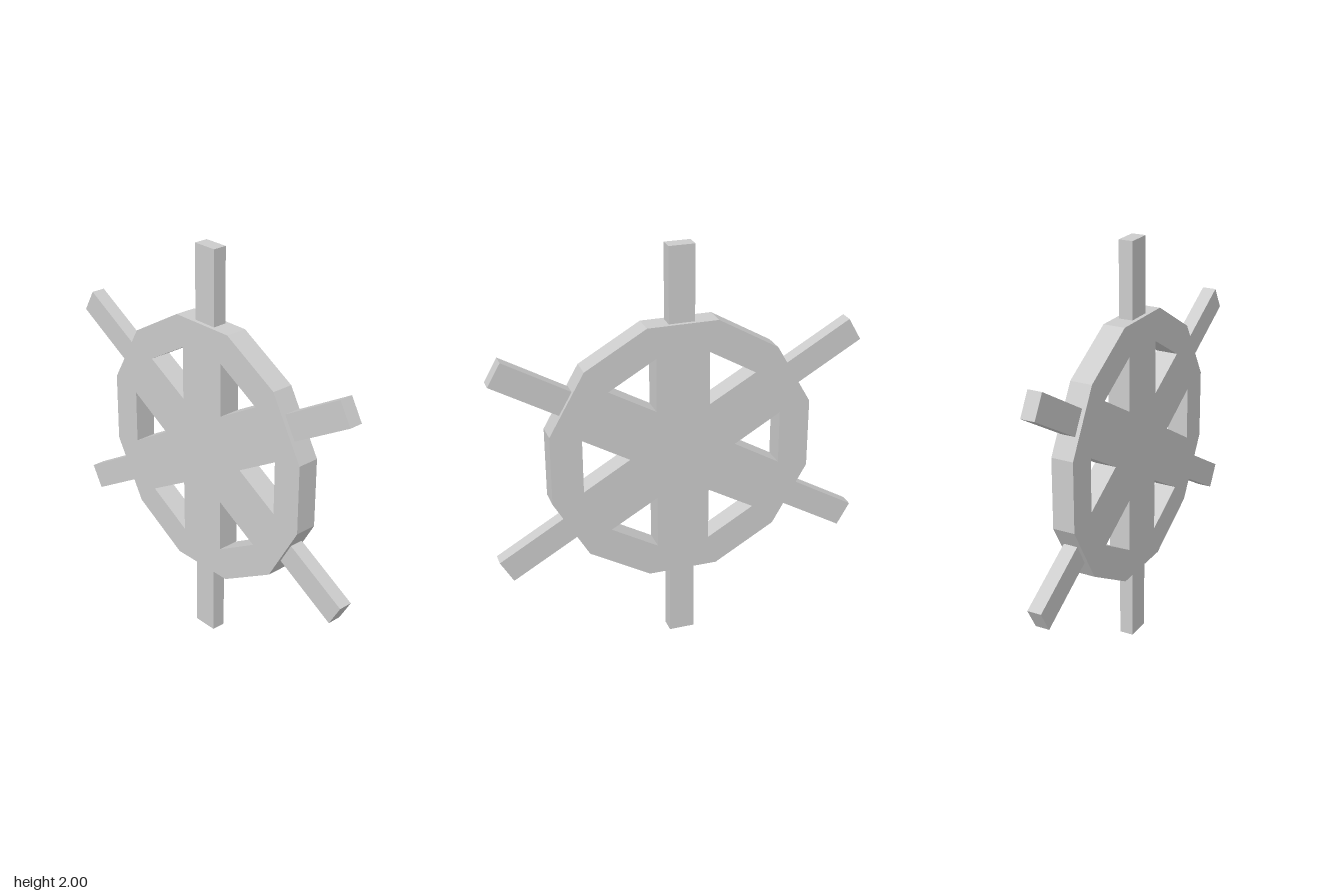
import * as THREE from 'three';

const polar = (r, deg) => new THREE.Vector2(
  r * Math.cos(THREE.MathUtils.degToRad(deg)),
  r * Math.sin(THREE.MathUtils.degToRad(deg)));

export function createModel() {
  const model = new THREE.Group();
  model.name = 'spokedWheel';
  const material = new THREE.MeshStandardMaterial({ color: 0xcccccc, flatShading: true });

  // Twelve-sided disc with six triangular cut-outs
  const outline = Array.from({ length: 12 }, (_, i) => polar(0.66, 15 + i * 30));
  const disc = new THREE.Shape(outline);
  for (let i = 0; i < 6; i++) {
    const a = i * 60;
    disc.holes.push(new THREE.Path([polar(0.26, a), polar(0.504, a - 15.2), polar(0.504, a + 15.2)]));
  }
  const depth = 0.108;
  const discGeometry = new THREE.ExtrudeGeometry(disc, { depth, bevelEnabled: false });
  discGeometry.translate(0, 0, -depth / 2);
  const wheel = new THREE.Mesh(discGeometry, material);
  wheel.name = 'wheelDisc';
  wheel.position.y = 1;
  model.add(wheel);

  // Six square-cut handles, rooted just inside the rim
  const inner = 0.63, outer = 1;
  const handleGeometry = new THREE.BoxGeometry(outer - inner, 0.125, 0.069);
  handleGeometry.translate((inner + outer) / 2, 0, 0);
  for (let i = 0; i < 6; i++) {
    const handle = new THREE.Mesh(handleGeometry, material);
    handle.name = `handle${i + 1}`;
    handle.position.y = 1;
    handle.rotation.z = THREE.MathUtils.degToRad(30 + i * 60);
    model.add(handle);
  }
  return model;
}
